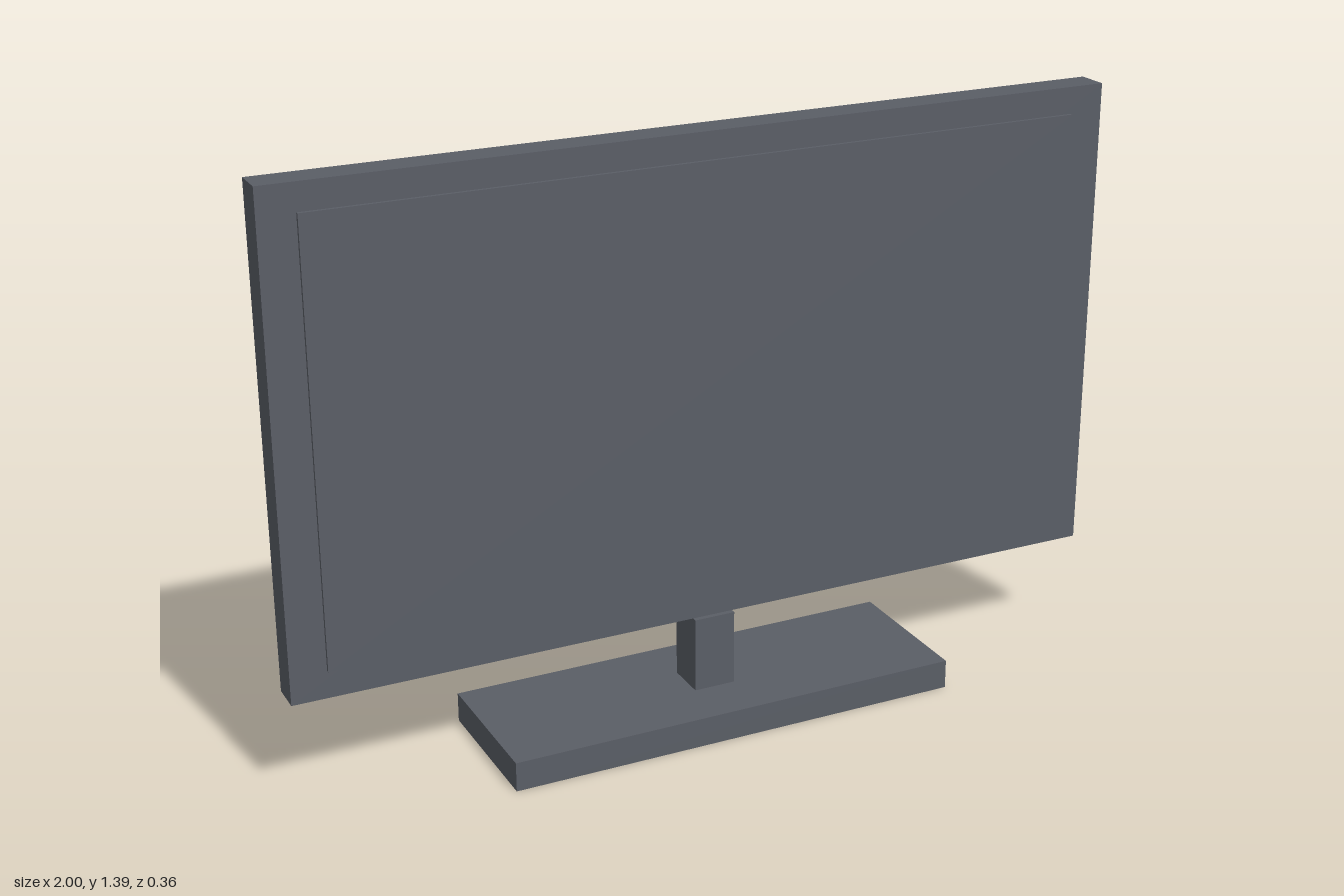
import * as THREE from 'three';

export function createModel() {
  const model = new THREE.Group();
  model.name = 'monitor';

  const slateGrey = new THREE.MeshStandardMaterial({ color: 0x5a5e66 });
  slateGrey.name = 'slate grey';

  // Box given by its size, the height of its underside and its centre in z
  function addBox(name, width, height, depth, bottom, z = 0) {
    const mesh = new THREE.Mesh(new THREE.BoxGeometry(width, height, depth), slateGrey);
    mesh.name = name;
    mesh.position.set(0, bottom + height / 2, z);
    model.add(mesh);
  }

  // Stand
  addBox('base', 1.1, 0.07, 0.36, 0);
  addBox('neck', 0.1, 0.18, 0.1, 0.07);

  // Display: housing with a thin raised panel on its front
  addBox('housing', 2, 1.14, 0.076, 0.25);
  addBox('screen', 1.834, 1.012, 0.008, 0.315, 0.042);

  return model;
}
